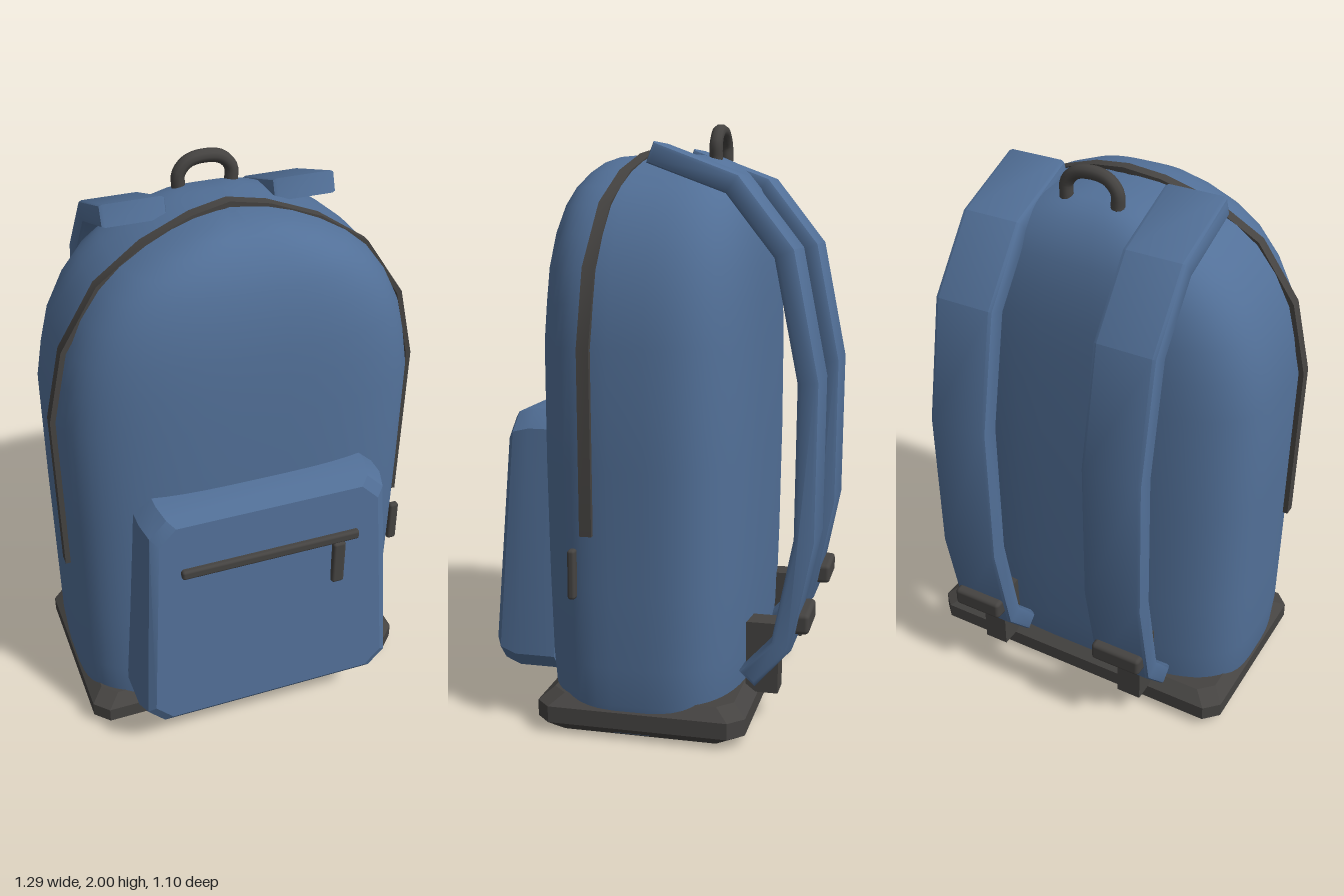
import * as THREE from 'three';
import { toCreasedNormals } from 'three/addons/utils/BufferGeometryUtils.js';
import { RoundedBoxGeometry } from 'three/addons/geometries/RoundedBoxGeometry.js';

const fabric = new THREE.MeshStandardMaterial({ color: 0x527098 });
fabric.name = 'blueFabric';
const trim = new THREE.MeshStandardMaterial({ color: 0x454341 });
trim.name = 'darkTrim';

// Closed solid through rings of equal length, each counter-clockwise about the direction of travel
function loft(rings, crease) {
  const n = rings[0].length, pos = rings.flat(2), idx = [];
  for (let i = 0; i < rings.length - 1; i++) {
    for (let j = 0; j < n; j++) {
      const k = (j + 1) % n, a = i * n, b = a + n;
      idx.push(a + j, a + k, b + k, a + j, b + k, b + j);
    }
  }
  const end = (rings.length - 1) * n;
  for (let j = 1; j < n - 1; j++) idx.push(0, j + 1, j, end, end + j, end + j + 1);
  const geo = new THREE.BufferGeometry();
  geo.setAttribute('position', new THREE.Float32BufferAttribute(pos, 3));
  geo.setIndex(idx);
  return toCreasedNormals(geo, crease);
}

// Trapezium outline with cut corners: half widths b (bottom) and t (top)
function octagon(b, t, y0, y1, c) {
  return [[-b + c, y0], [b - c, y0], [b, y0 + c], [t, y1 - c],
    [t - c, y1], [-t + c, y1], [-t, y1 - c], [-b, y0 + c]];
}

// Main body: squarish rings [height, half width, half depth] closing into an arch
function bodyGeometry() {
  const rows = [[0.012, 0.575, 0.315], [0.05, 0.592, 0.33], [0.12, 0.606, 0.34], [0.25, 0.617, 0.35],
    [0.5, 0.62, 0.357], [0.9, 0.625, 0.363], [1.29, 0.627, 0.363], [1.42, 0.605, 0.358],
    [1.53, 0.578, 0.353], [1.64, 0.525, 0.339], [1.73, 0.458, 0.317], [1.79, 0.385, 0.292],
    [1.84, 0.295, 0.257], [1.875, 0.205, 0.22], [1.895, 0.125, 0.175], [1.904, 0.05, 0.09]];
  const n = 64, p = 2 / 3.3;
  const power = v => Math.sign(v) * Math.abs(v) ** p;
  return loft(rows.map(([y, w, d]) => Array.from({ length: n }, (_, j) => {
    const a = (j + 0.5) / n * Math.PI * 2;
    return [w * power(Math.sin(a)), y, 0.035 + d * power(Math.cos(a))];
  })), 1.0);
}

// Base tray with bevelled edges: rings [height, inset]
function baseGeometry() {
  return loft([[0.004, 0.045], [0.04, 0], [0.095, 0], [0.13, 0.045]].map(([y, s]) =>
    octagon(0.608 - s, 0.608 - s, -0.362 + s, 0.342 - s, 0.05).map(([u, v]) => [u, y, -v])), 0.4);
}

// Front pocket with a leaning, bevelled face: rings [distance behind face, inset]
function pocketGeometry() {
  const face = y => 0.567 - 0.06 * y;
  return loft([[0.22, 0], [0.08, 0], [0.02, 0.016], [0, 0.042]].map(([back, s]) =>
    octagon(0.475 - s, 0.432 - s, 0.155 + s, 1.053 - s, 0.06)
      .map(([x, y]) => [x, y, face(y) - back])), 0.4);
}

// Flat piping over the arch, points [x, y, z]
function pipingGeometry() {
  const half = [[0.637, 0.69, 0.165], [0.645, 1.29, 0.165], [0.59, 1.54, 0.16],
    [0.46, 1.74, 0.143], [0.3, 1.845, 0.12], [0.13, 1.905, 0.095]];
  const path = [...half, [0, 1.925, 0.08], ...half.map(([x, y, z]) => [-x, y, z]).reverse()];
  return loft(path.map(([x, y, z], i) => {
    const a = path[Math.max(i - 1, 0)], b = path[Math.min(i + 1, path.length - 1)];
    const tx = b[0] - a[0], ty = b[1] - a[1], m = 0.018 / Math.hypot(tx, ty);
    const ix = x - ty * m, iy = y + tx * m;
    return [[x, y, z + 0.02], [x, y, z - 0.02], [ix, iy, z - 0.02], [ix, iy, z + 0.02]];
  }), 0.5);
}

// Shoulder strap: side profile [z, y] thickened and extruded across its width
function strapGeometry() {
  const line = [[0, 1.893], [-0.255, 1.797], [-0.425, 1.58], [-0.507, 1.17],
    [-0.502, 0.65], [-0.43, 0.29], [-0.325, 0.175]];
  const bevel = 0.015, h = 0.036 - bevel;
  const side = s => line.map(([z, y], i) => {
    const a = line[Math.max(i - 1, 0)], b = line[Math.min(i + 1, line.length - 1)];
    const dz = b[0] - a[0], dy = b[1] - a[1], m = s * h / Math.hypot(dz, dy);
    return new THREE.Vector2(-z - dy * m, y - dz * m);
  });
  const shape = new THREE.Shape([...side(1), ...side(-1).reverse()]);
  const geo = new THREE.ExtrudeGeometry(shape, {
    depth: 0.19, bevelEnabled: true, bevelSize: bevel, bevelThickness: bevel, bevelSegments: 2,
  });
  geo.translate(0, 0, -0.095);
  geo.rotateY(Math.PI / 2); // profile x becomes -z
  return toCreasedNormals(geo, 0.6);
}

export function createModel() {
  const model = new THREE.Group();
  model.name = 'backpack';
  const add = (name, geo, mat, x = 0, y = 0, z = 0) => {
    const mesh = new THREE.Mesh(geo, mat);
    mesh.name = name;
    mesh.position.set(x, y, z);
    model.add(mesh);
    return mesh;
  };
  const block = (w, h, d, r) => new RoundedBoxGeometry(w, h, d, 2, r);

  add('body', bodyGeometry(), fabric);
  add('base', baseGeometry(), trim);
  add('frontPocket', pocketGeometry(), fabric);
  add('archPiping', pipingGeometry(), trim);

  // Pocket zip, its pull, and the tag on the left side
  add('pocketZip', block(0.64, 0.036, 0.036, 0.01), trim, 0, 0.825, 0.517);
  add('zipPull', block(0.046, 0.175, 0.026, 0.01), trim, 0.245, 0.725, 0.53);
  add('sideTag', block(0.036, 0.165, 0.026, 0.01), trim, 0.622, 0.56, 0.215);

  // Straps with sliders and lower anchors
  const strap = strapGeometry();
  for (const [side, s] of [['left', 1], ['right', -1]]) {
    add(side + 'Strap', strap, fabric, s * 0.29);
    add(side + 'Slider', block(0.19, 0.07, 0.085, 0.015), trim, s * 0.29, 0.365, -0.478);
    add(side + 'Anchor', new THREE.BoxGeometry(0.09, 0.245, 0.11), trim, s * 0.29, 0.222, -0.357);
  }

  // Grab handle with rounded ends
  const points = [[-0.092, 1.885], [-0.09, 1.935], [-0.05, 1.975], [0.05, 1.975], [0.09, 1.935], [0.092, 1.885]]
    .map(([x, y]) => new THREE.Vector3(x, y, -0.14));
  add('grabHandle', new THREE.TubeGeometry(new THREE.CatmullRomCurve3(points), 24, 0.023, 10), trim);
  for (const p of [points[0], points[5]]) {
    add('handleEnd', new THREE.SphereGeometry(0.023, 10, 8), trim, p.x, p.y, p.z);
  }
  return model;
}
